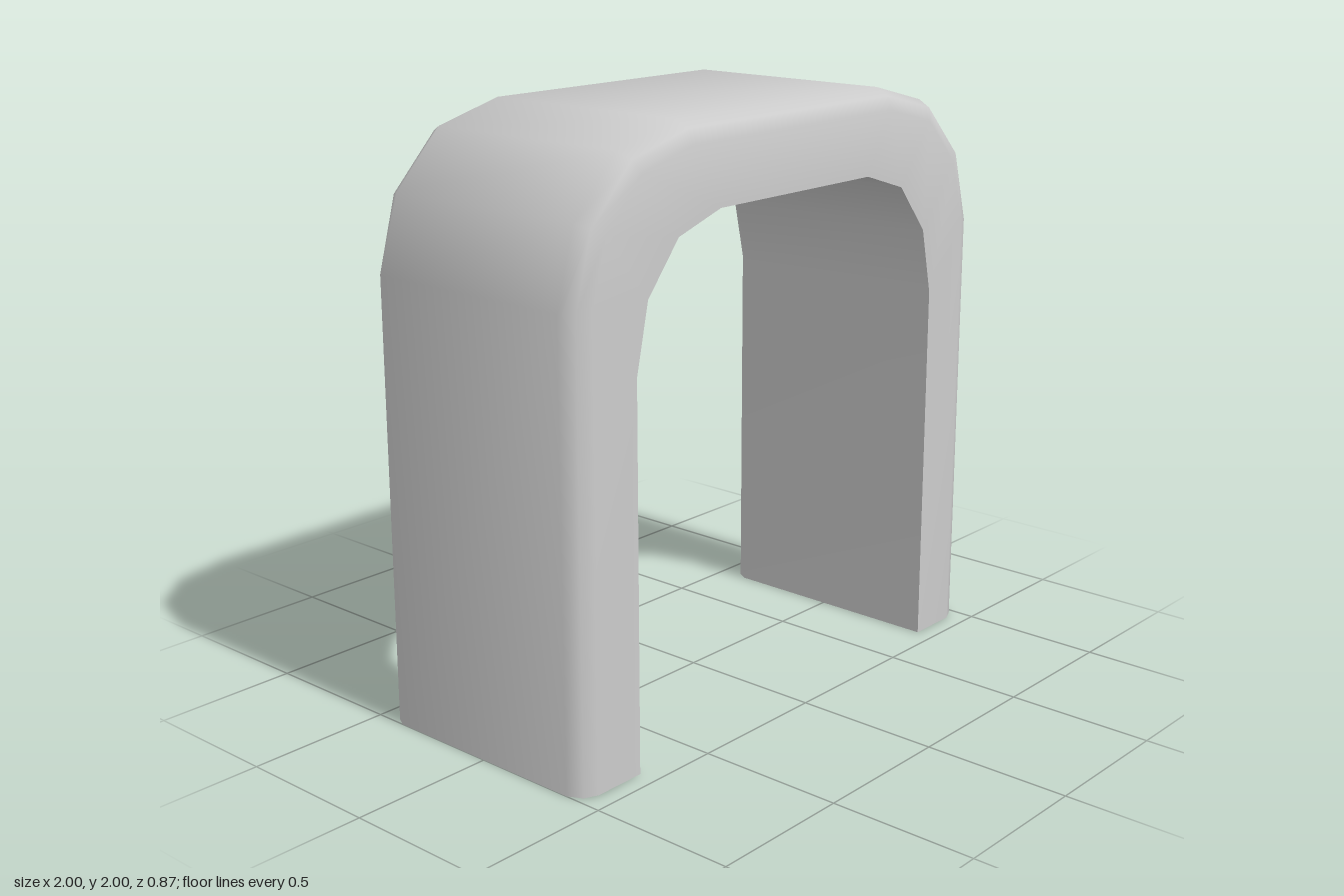
import * as THREE from 'three';
import { toCreasedNormals } from 'three/addons/utils/BufferGeometryUtils.js';

// Half outlines from the foot to the crown; mirrored into a full arch
const OUTER = [[1, 0], [1, 1.5], [0.93, 1.75], [0.75, 1.935], [0.5, 2]];
const INNER = [[0.745, 0], [0.745, 1.275], [0.695, 1.5], [0.56, 1.665], [0.37, 1.725]];

// Cross-section: [on outer outline?, inset into the material, z]
const SECTION = [
  [true, 0.07, 0.435], [true, 0.025, 0.415], [true, 0, 0.365],     // outer front bevel
  [true, 0, -0.39], [true, 0.02, -0.425], [true, 0.05, -0.435],    // outer back bevel
  [false, 0.05, -0.435], [false, 0.02, -0.425], [false, 0, -0.39], // inner back bevel
  [false, 0, 0.435],                                               // sharp inner front edge
];

// Full outline with mitred outward vectors, so insets stay parallel to each side
function outline(half) {
  const pts = [...half, ...half.map(([x, y]) => [-x, y]).reverse()]
    .map(([x, y]) => new THREE.Vector2(x, y));
  const normals = pts.slice(1).map((p, i) => {
    const t = p.clone().sub(pts[i]).normalize();
    return new THREE.Vector2(t.y, -t.x);
  });
  return pts.map((p, i) => {
    const a = normals[Math.max(i - 1, 0)];
    const b = normals[Math.min(i, normals.length - 1)];
    return { p, out: a.clone().add(b).divideScalar(1 + a.dot(b)) };
  });
}

function archGeometry() {
  const outer = outline(OUTER), inner = outline(INNER);
  const n = SECTION.length, rings = outer.length;
  const positions = [], indices = [];

  for (let i = 0; i < rings; i++) {
    for (const [isOuter, inset, z] of SECTION) {
      const { p, out } = (isOuter ? outer : inner)[i];
      const q = p.clone().addScaledVector(out, isOuter ? -inset : inset);
      positions.push(q.x, q.y, z);
    }
  }

  // Skin between neighbouring sections
  for (let i = 0; i < rings - 1; i++) {
    for (let j = 0; j < n; j++) {
      const k = (j + 1) % n;
      const a = i * n + j, b = i * n + k, c = b + n, d = a + n;
      indices.push(a, b, c, a, c, d);
    }
  }

  // Flat soles under both feet
  const last = (rings - 1) * n;
  for (let j = 1; j < n - 1; j++) {
    indices.push(0, j + 1, j, last, last + j, last + j + 1);
  }

  const geometry = new THREE.BufferGeometry();
  geometry.setAttribute('position', new THREE.Float32BufferAttribute(positions, 3));
  geometry.setIndex(indices);
  return toCreasedNormals(geometry, THREE.MathUtils.degToRad(50));
}

export function createModel() {
  const group = new THREE.Group();
  group.name = 'archway';
  const arch = new THREE.Mesh(archGeometry(), new THREE.MeshStandardMaterial({ color: 0xcccccc }));
  arch.name = 'arch';
  group.add(arch);
  return group;
}
